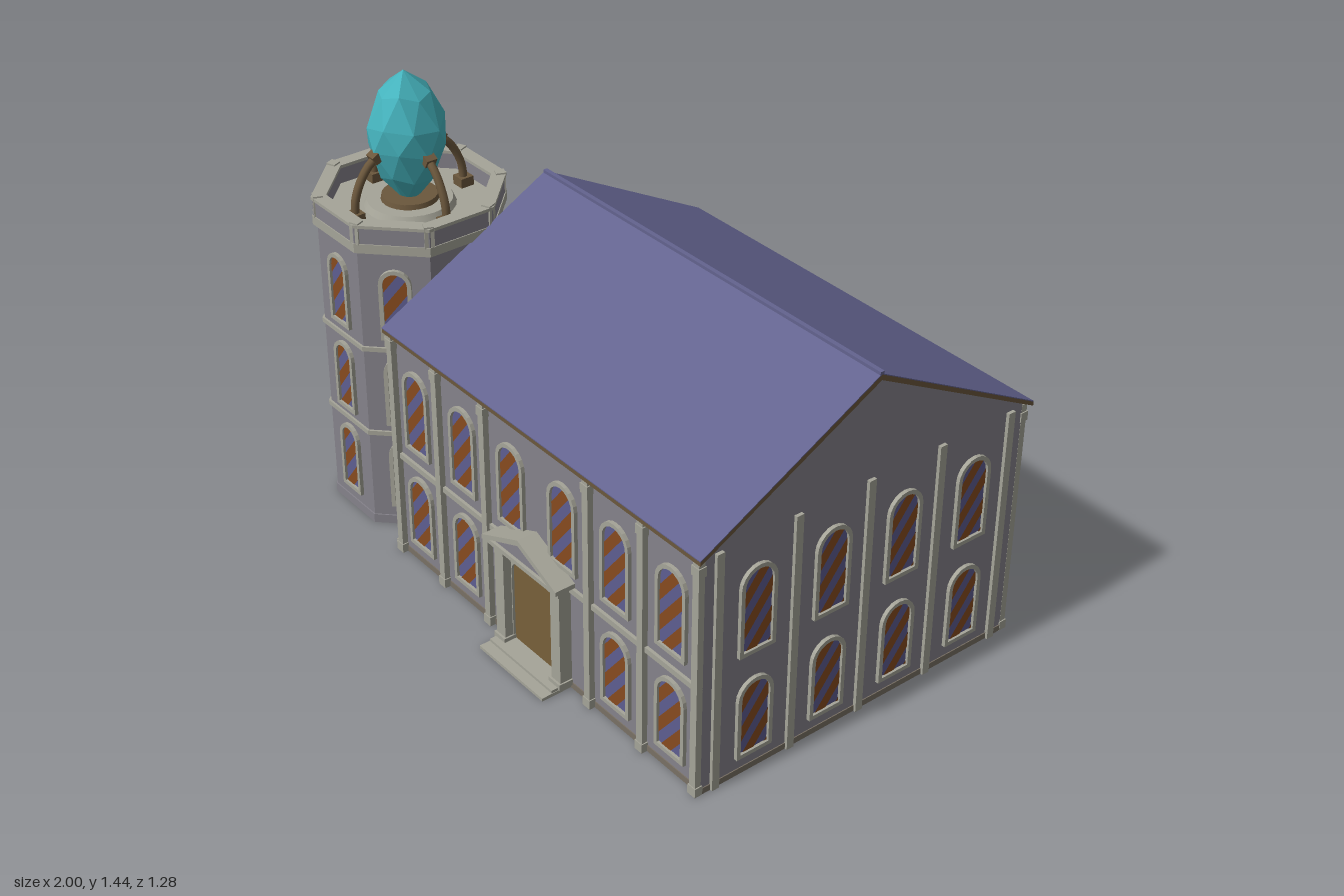
import * as THREE from 'three';

const mat = (name, color, side = THREE.FrontSide) => {
  const m = new THREE.MeshStandardMaterial({ color, side });
  m.name = name;
  return m;
};

export function createModel() {
  const M = {
    wall: mat('grey plaster', 0x85828a),
    trim: mat('pale stone', 0xa5a498),
    base: mat('brown footing', 0x797064),
    roof: mat('blue slate', 0x63638f, THREE.DoubleSide),
    wood: mat('brown wood', 0x6b573c),
    door: mat('door brown', 0x77603a),
    glass: mat('blue glass', 0x5e5d90),
    amber: mat('amber glass', 0x874b1f),
    crystal: mat('teal crystal', 0x45b3bd),
  };
  const model = new THREE.Group();
  model.name = 'hallWithCrystalTower';

  const add = (parent, name, geo, material, x = 0, y = 0, z = 0) => {
    const m = new THREE.Mesh(geo, material);
    m.name = name;
    m.position.set(x, y, z);
    parent.add(m);
    return m;
  };
  const box = (parent, name, material, w, h, d, x, y, z) =>
    add(parent, name, new THREE.BoxGeometry(w, h, d), material, x, y, z);
  const group = (parent, name, x = 0, y = 0, z = 0, ry = 0) => {
    const g = new THREE.Group();
    g.name = name;
    g.position.set(x, y, z);
    g.rotation.y = ry;
    parent.add(g);
    return g;
  };
  const flat = (g) => {
    const f = g.index ? g.toNonIndexed() : g;
    f.computeVertexNormals();
    return f;
  };
  const poly = (pts) => new THREE.Shape(pts.map(([x, y]) => new THREE.Vector2(x, y)));
  const extrude = (shape, depth) => new THREE.ExtrudeGeometry(shape, { depth, bevelEnabled: false });

  // Round-topped outline, bottom centre at the origin
  const archPts = (w, h, rise = w / 2, inset = 0) => {
    const a = w / 2 - inset, r = rise - inset, pts = [[-a, inset], [a, inset]];
    for (let i = 0; i <= 10; i++) {
      const t = (Math.PI * i) / 10;
      pts.push([a * Math.cos(t), h - rise + r * Math.sin(t)]);
    }
    return pts;
  };
  // Keep the part of a polygon where f(p) >= 0
  const clip = (pts, f) => {
    const out = [];
    pts.forEach((p, i) => {
      const q = pts[(i + 1) % pts.length], a = f(p), b = f(q);
      if (a >= 0) out.push(p);
      if (a * b < 0) {
        const t = a / (a - b);
        out.push([p[0] + (q[0] - p[0]) * t, p[1] + (q[1] - p[1]) * t]);
      }
    });
    return out;
  };

  // Stained glass window: stone surround, blue pane, diagonal amber bands
  const windowKit = (w, h) => {
    const frame = poly(archPts(w, h)), inner = archPts(w, h, w / 2, 0.013);
    frame.holes.push(poly(inner));
    const bands = [];
    for (let c = -0.09; c < h + 0.1; c += 0.1) {
      const line = (p) => p[1] - 1.3 * p[0] - c;
      const piece = clip(clip(inner, line), (p) => 0.052 - line(p));
      if (piece.length > 2) bands.push(poly(piece));
    }
    return { frame: extrude(frame, 0.012), pane: new THREE.ShapeGeometry(poly(inner)), bands: new THREE.ShapeGeometry(bands) };
  };
  const hallKit = windowKit(0.125, 0.285), lowKit = windowKit(0.125, 0.26), towerKit = windowKit(0.1, 0.24);
  const addWindow = (parent, kit, x, y, z) => {
    const g = group(parent, 'window', x, y, z);
    add(g, 'windowFrame', kit.frame, M.trim);
    add(g, 'windowPane', kit.pane, M.glass, 0, 0, 0.003);
    add(g, 'amberBands', kit.bands, M.amber, 0, 0, 0.005);
  };
  const pilaster = (parent, x, z, capped) => {
    box(parent, 'pilaster', M.trim, 0.025, 0.785, 0.02, x, 0.3925, z);
    if (capped) {
      box(parent, 'pilasterCap', M.trim, 0.032, 0.03, 0.026, x, 0.745, z);
      box(parent, 'pilasterFoot', M.trim, 0.032, 0.03, 0.026, x, 0.015, z);
    }
  };

  // Hall body with gables, extruded along x
  const hall = group(model, 'hall');
  const cz = -0.0375, half = 0.5725, cx = 0.27;
  const alongX = (shape, x0, x1) => extrude(shape, x1 - x0).rotateY(Math.PI / 2).translate(x0, 0, 0);
  add(hall, 'hallWalls', alongX(poly([
    [-half, 0], [half, 0], [half, 0.79], [0, 1.095], [-half, 0.79]]), -0.445, 0.985), M.wall, 0, 0, cz);
  box(hall, 'footing', M.base, 1.436, 0.02, 1.151, cx, 0.0098, cz);

  // Roof boards with slate on top
  add(hall, 'roofBoards', alongX(poly([
    [-0.6, 0.78], [0, 1.098], [0.6, 0.78], [0.6, 0.793], [0, 1.115], [-0.6, 0.793]]), -0.45, 1), M.wood, 0, 0, cz);
  add(hall, 'roofSlates', alongX(poly([
    [-0.6, 0.793], [0, 1.115], [0.6, 0.793], [0.6, 0.796], [0, 1.118], [-0.6, 0.796]]), -0.45, 1), M.roof, 0, 0, cz);
  box(hall, 'ridgeCap', M.roof, 1.45, 0.014, 0.014, 0.275, 1.117, cz);

  // Long facades, front and back
  for (const s of [1, -1]) {
    const f = group(hall, s > 0 ? 'frontFacade' : 'backFacade', cx, 0, cz, s > 0 ? 0 : Math.PI);
    for (const side of [1, -1]) {
      for (const x of [0.24, 0.475, 0.703]) pilaster(f, side * x, half + 0.009, true);
      for (const x of [0.12, 0.355, 0.592]) {
        addWindow(f, hallKit, side * x, 0.407, half);
        if (x > 0.2) addWindow(f, lowKit, side * x, 0.06, half);
      }
    }
    box(f, 'stringCourse', M.trim, 1.43, 0.018, 0.012, 0, 0.355, half + 0.004);
  }

  // Gable ends; the tower covers the front half of the one on the right
  const windowZ = [0.355, 0.092, -0.168, -0.43];
  const leftEnd = group(hall, 'leftGable', 0.985, 0, 0, Math.PI / 2);
  for (const z of [0.49, 0.222, -0.035, -0.297, -0.56]) pilaster(leftEnd, -z, 0.001, false);
  const rightEnd = group(hall, 'rightGable', -0.445, 0, 0, -Math.PI / 2);
  for (const z of [0.535, -0.61]) pilaster(rightEnd, z, 0, true);
  windowZ.forEach((z, i) => {
    addWindow(leftEnd, hallKit, -z, 0.407, 0);
    addWindow(leftEnd, lowKit, -z, 0.06, 0);
    if (i > 1) {
      addWindow(rightEnd, hallKit, z, 0.407, 0);
      addWindow(rightEnd, lowKit, z, 0.06, 0);
    }
  });

  // Entrance: door, surround, columns, pediment and steps
  const porch = group(model, 'porch', 0.262, 0, 0.535);
  const surround = poly(archPts(0.25, 0.34, 0.07));
  surround.holes.push(poly(archPts(0.25, 0.34, 0.07, 0.016)));
  add(porch, 'doorSurround', extrude(surround, 0.014), M.trim);
  add(porch, 'door', new THREE.ShapeGeometry(poly(archPts(0.25, 0.34, 0.07, 0.014))), M.door, 0, 0, 0.006);
  for (const s of [1, -1]) {
    box(porch, 'porchColumn', M.trim, 0.042, 0.34, 0.042, s * 0.133, 0.185, 0.02);
    box(porch, 'columnCap', M.trim, 0.054, 0.02, 0.05, s * 0.133, 0.35, 0.023);
    box(porch, 'columnFoot', M.trim, 0.052, 0.02, 0.05, s * 0.133, 0.022, 0.023);
  }
  add(porch, 'pediment', extrude(poly([[-0.155, 0.36], [0.155, 0.36], [0.155, 0.375], [0, 0.44], [-0.155, 0.375]]), 0.052), M.wall);
  add(porch, 'pedimentMoulding', extrude(poly([
    [-0.175, 0.365], [0, 0.438], [0.175, 0.365], [0.175, 0.38], [0, 0.457], [-0.175, 0.38]]), 0.068), M.trim);
  box(porch, 'pedimentSill', M.trim, 0.33, 0.014, 0.062, 0, 0.366, 0.031);
  box(porch, 'lowerStep', M.trim, 0.305, 0.01, 0.105, 0, 0.005, 0.0525);
  box(porch, 'upperStep', M.trim, 0.3, 0.01, 0.07, 0, 0.014, 0.035);

  // Eight-sided tower
  const tower = group(model, 'tower', -0.72, 0, 0.27);
  const C = Math.cos(Math.PI / 8);
  const octagon = (name, material, apothem, y0, y1) => add(tower, name,
    flat(new THREE.CylinderGeometry(apothem / C, apothem / C, y1 - y0, 8).rotateY(Math.PI / 8)), material, 0, (y0 + y1) / 2, 0);
  const ring = (name, material, outer, inner, y0, y1) => {
    const pts = (a) => [...Array(8).keys()].map((i) => {
      const t = ((i + 0.5) * Math.PI) / 4;
      return [(a / C) * Math.cos(t), (a / C) * Math.sin(t)];
    });
    const s = poly(pts(outer));
    s.holes.push(poly(pts(inner)));
    add(tower, name, extrude(s, y1 - y0).rotateX(-Math.PI / 2), material, 0, y0, 0);
  };
  octagon('towerWalls', M.wall, 0.262, 0, 0.98);
  octagon('towerFoot', M.wall, 0.266, 0, 0.03);
  octagon('towerBand', M.trim, 0.269, 0.33, 0.345);
  octagon('towerBand', M.trim, 0.269, 0.63, 0.645);
  octagon('towerCornice', M.trim, 0.275, 0.97, 1.0);
  ring('parapet', M.wall, 0.272, 0.236, 1.0, 1.052);
  ring('parapetCoping', M.trim, 0.276, 0.232, 1.052, 1.062);
  for (let i = 0; i < 8; i++) {
    const post = group(tower, 'parapetCorner', 0, 0, 0, ((i + 0.5) * Math.PI) / 4);
    box(post, 'cornerPost', M.trim, 0.03, 0.07, 0.03, 0, 1.032, 0.278);
    if (i === 2) continue;
    const face = group(tower, 'towerFace', 0, 0, 0, (i * Math.PI) / 4);
    for (const y of [0.07, 0.37, 0.675]) addWindow(face, towerKit, 0, y, 0.262);
  }

  // Crystal plinth
  add(tower, 'plinth', new THREE.CylinderGeometry(0.13, 0.14, 0.02, 24), M.trim, 0, 1.01, 0);
  add(tower, 'plinthDisc', new THREE.CylinderGeometry(0.085, 0.09, 0.02, 24), M.wood, 0, 1.025, 0);

  // Faceted crystal: staggered rings joined by triangles
  const rings = [[0.03, 1.03], [0.085, 1.105], [0.118, 1.2], [0.118, 1.275], [0.078, 1.37], [0, 1.437]];
  const N = 8, verts = [];
  const pt = (k, i) => {
    const [r, y] = rings[k], t = ((i + k * 0.5) * 2 * Math.PI) / N;
    const wob = k > 0 && k < 5 ? 0.012 * Math.sin(i * 2.4 + k) : 0;
    return [r * Math.sin(t), y + wob, r * Math.cos(t)];
  };
  for (let k = 0; k < rings.length - 1; k++) {
    for (let i = 0; i < N; i++) {
      const j = (i + 1) % N, a = pt(k, i), b = pt(k, j), c = pt(k + 1, i), d = pt(k + 1, (i + N - 1) % N);
      verts.push(...a, ...b, ...c);
      if (k < rings.length - 2) verts.push(...a, ...c, ...d);
    }
  }
  const gem = new THREE.BufferGeometry();
  gem.setAttribute('position', new THREE.Float32BufferAttribute(verts, 3));
  add(tower, 'crystal', flat(gem), M.crystal);

  // Four curved claws holding the crystal
  const path = new THREE.CatmullRomCurve3([[0.195, 1.0], [0.19, 1.07], [0.165, 1.13], [0.135, 1.168], [0.108, 1.186]]
    .map(([r, y]) => new THREE.Vector3(0, y, r)));
  const arm = new THREE.TubeGeometry(path, 12, 0.013, 8);
  for (let i = 0; i < 4; i++) {
    const claw = group(tower, 'claw', 0, 0, 0, (i * Math.PI) / 2);
    add(claw, 'clawArm', arm, M.wood);
    box(claw, 'clawFoot', M.wood, 0.045, 0.03, 0.045, 0, 1.015, 0.195);
    box(claw, 'clawTip', M.wood, 0.036, 0.03, 0.024, 0, 1.187, 0.116).rotation.x = 0.5;
  }
  return model;
}
